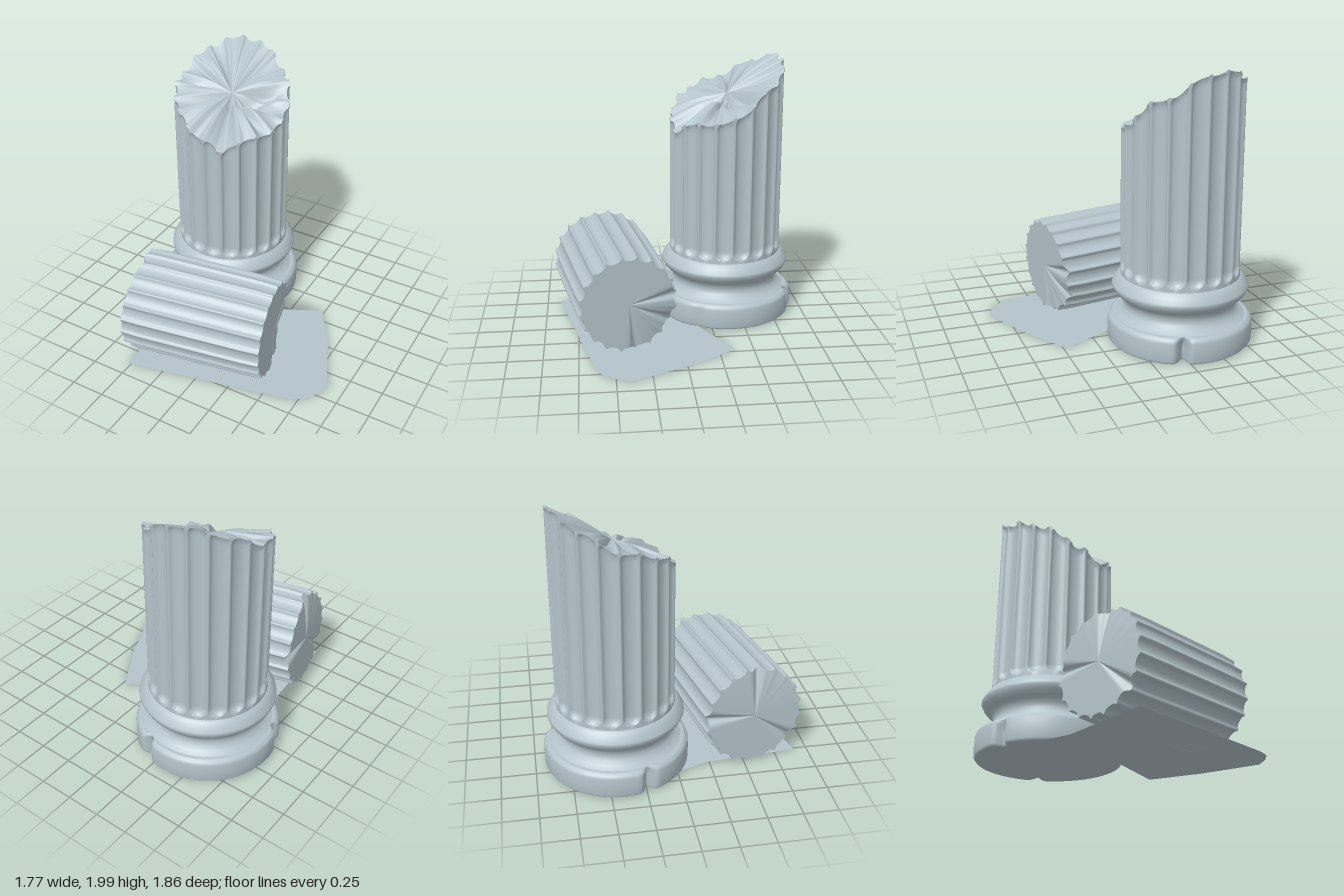
import * as THREE from 'three';

const TAU = Math.PI * 2;
const COLS = 320;
const FLUTES = 20;
const deg = Math.PI / 180;

const stone = new THREE.MeshStandardMaterial({ color: 0xb4c4cb });
stone.name = 'paleStone';
const stoneSheet = new THREE.MeshStandardMaterial({ color: 0xb4c4cb, side: THREE.DoubleSide });
stoneSheet.name = 'paleStoneSheet';

// Closed ring surface: point(angle, row) returns [radius, height]
function ringSurface(name, rows, point) {
  const pos = [], idx = [];
  for (let i = 0; i < rows; i++) {
    for (let j = 0; j < COLS; j++) {
      const a = (j / COLS) * TAU;
      const [r, y] = point(a, i);
      pos.push(r * Math.cos(a), y, r * Math.sin(a));
      if (i < rows - 1) {
        const k = (j + 1) % COLS, p = i * COLS, q = p + COLS;
        idx.push(p + j, q + j, p + k, p + k, q + j, q + k);
      }
    }
  }
  const g = new THREE.BufferGeometry();
  g.setAttribute('position', new THREE.Float32BufferAttribute(pos, 3));
  g.setIndex(idx);
  g.computeVertexNormals();
  const mesh = new THREE.Mesh(g, stone);
  mesh.name = name;
  return mesh;
}

// Angular bump, 1 at the centre angle
function bump(a, centreDeg, widthDeg) {
  const d = Math.atan2(Math.sin(a - centreDeg * deg), Math.cos(a - centreDeg * deg));
  return Math.exp(-((d / (widthDeg * deg)) ** 2));
}

// Hollow of a flute; end grows from 0 to 1 towards its rounded end
function flute(a, end = 0) {
  const f = (a * FLUTES) / TAU;
  const u = ((f - Math.floor(f)) * 2 - 1) / 0.88;
  return Math.sqrt(Math.max(0, 1 - u * u - end * end));
}

// Height of the broken rim, one key every 30 degrees
const RIM = [1.6, 1.57, 1.53, 1.53, 1.64, 1.74, 1.8, 1.91, 1.985, 1.985, 1.86, 1.76];
function rimHeight(a) {
  const f = (a / TAU) * 12, i = Math.floor(f), t = f - i;
  const k = (n) => RIM[(i + n + 12) % 12];
  const m0 = (k(1) - k(-1)) / 2, m1 = (k(2) - k(0)) / 2;
  const t2 = t * t, t3 = t2 * t;
  const h = k(0) * (2 * t3 - 3 * t2 + 1) + m0 * (t3 - 2 * t2 + t) + k(1) * (3 * t2 - 2 * t3) + m1 * (t3 - t2);
  return h - 0.02 * flute(a) - 0.06 * bump(a, 72, 7) + 0.012 * Math.sin(a * 9 + 1);
}

function shaftRadius(a, y, rim) {
  const end = Math.max(0, (0.59 - y) / 0.06, (y - rim + 0.06) / 0.085);
  return 0.428 - 0.034 * flute(a, end);
}

function standingColumn() {
  const g = new THREE.Group();
  g.name = 'standingColumn';

  // Fluted shaft
  const low = [0.49, 0.525, 0.535, 0.545, 0.56, 0.575, 0.59];
  const high = [0.08, 0.06, 0.045, 0.03, 0.015, 0];
  g.add(ringSurface('flutedShaft', low.length + high.length, (a, i) => {
    const rim = rimHeight(a);
    const y = i < low.length ? low[i] : rim - high[i - low.length];
    return [shaftRadius(a, y, rim), y];
  }));

  // Jagged slanting break with radial ridges and a gouge
  const steps = 28;
  g.add(ringSurface('brokenTop', steps + 1, (a, i) => {
    const t = 1 - i / steps;
    const rim = rimHeight(a);
    const r = shaftRadius(a, rim, rim) * t;
    const x = r * Math.cos(a), z = r * Math.sin(a);
    const ridge = Math.abs(Math.sin(4.5 * (a + 0.25 * Math.sin(2 * a)))) - 0.5;
    const across = (x - 0.18) * 0.65 + (z + 0.04) * 0.76, along = (x - 0.18) * 0.76 - (z + 0.04) * 0.65;
    const gouge = Math.exp(-((across / 0.05) ** 2) - (along / 0.17) ** 2);
    const fade = Math.sin(Math.PI * t);
    return [r, 1.72 + (rim - 1.72) * t + fade * 0.05 * ridge - 0.07 * gouge * Math.min(1, (1 - t) * 5)];
  }));

  // Base mouldings, the plinth chipped in two places
  const profiles = {
    plinthUnderside: [[0, 0.015], [0.35, 0.015], [0.43, 0.015], [0.51, 0.015]],
    plinth: [[0.51, 0.015], [0.522, 0.03], [0.524, 0.1], [0.522, 0.165], [0.512, 0.188], [0.49, 0.2]],
    plinthTop: [[0.49, 0.2], [0.4, 0.205]],
    scotia: [[0.47, 0.203], [0.435, 0.222], [0.41, 0.25], [0.402, 0.28], [0.406, 0.31], [0.425, 0.34], [0.455, 0.36]],
    torus: [[0.455, 0.36], [0.476, 0.385], [0.491, 0.415], [0.488, 0.435], [0.465, 0.47], [0.447, 0.493], [0.43, 0.503]],
    torusTop: [[0.43, 0.503], [0.36, 0.505]],
  };
  for (const [name, p] of Object.entries(profiles)) {
    g.add(ringSurface(name, p.length, (a, i) => {
      const [r, y] = p[i];
      const chip = name.startsWith('plinth') && r > 0.42
        ? 0.09 * bump(a, -70, 4) + 0.07 * bump(a, 160, 4) + 0.015 * bump(a, 30, 5) : 0;
      return [r - chip * (y > 0.18 ? 0.4 : 1), y];
    }));
  }
  g.position.set(-0.365, 0, -0.405);
  return g;
}

function fallenDrum() {
  const g = new THREE.Group();
  g.name = 'fallenDrum';
  const half = 0.522;
  const radius = (a, t) => 0.378 - 0.012 * t - 0.026 * flute(a);

  // Cracked ends: sign +1 is the upper local end
  const dent = (a, t, s) => s > 0
    ? 0.05 * t * t * bump(a, -65, 32) + 0.035 * t * (bump(a, -108, 6) + bump(a, -72, 5) + bump(a, -18, 5))
    : 0.03 * t * t * bump(a, 150, 40) + 0.04 * t * (bump(a, 40, 6) + bump(a, 165, 6) + bump(a, 255, 6));

  g.add(ringSurface('drumSide', 9, (a, i) => {
    const t = i / 8;
    const lo = -half + dent(a, 1, -1), hi = half - dent(a, 1, 1);
    const soft = i === 0 || i === 8 ? 0.006 : 0;
    return [radius(a, t) - soft, lo + (hi - lo) * t];
  }));
  for (const s of [-1, 1]) {
    g.add(ringSurface(s > 0 ? 'drumLeftEnd' : 'drumRightEnd', 17, (a, i) => {
      const t = s > 0 ? 1 - i / 16 : i / 16;
      return [(radius(a, s > 0 ? 1 : 0) - 0.006) * t, s * (half - dent(a, t, s))];
    }));
  }
  const axis = new THREE.Vector3(1.03, -0.022, -0.18).normalize();
  g.quaternion.setFromUnitVectors(new THREE.Vector3(0, 1, 0), axis);
  g.position.set(-0.083, 0.379, 0.477);
  return g;
}

// Thin ground slab, outline in x and z
function groundSheet() {
  const outline = [[0.48, -0.365], [0.1, -0.17], [-0.3, 0], [-0.64, 0.04], [-0.57, 0.22], [-0.52, 0.9],
    [-0.3, 0.85], [0.48, 0.68], [0.69, 0.63], [0.77, 0.59], [0.83, 0.51], [0.88, 0.4], [0.69, -0.02], [0.6, -0.17]];
  const shape = new THREE.Shape(outline.map(([x, z]) => new THREE.Vector2(x, -z)));
  const mesh = new THREE.Mesh(new THREE.ShapeGeometry(shape), stoneSheet);
  mesh.rotation.x = -Math.PI / 2;
  mesh.position.y = 0.012;
  mesh.name = 'groundSheet';
  return mesh;
}

export function createModel() {
  const model = new THREE.Group();
  model.name = 'brokenColumn';
  model.add(standingColumn(), fallenDrum(), groundSheet());
  return model;
}
